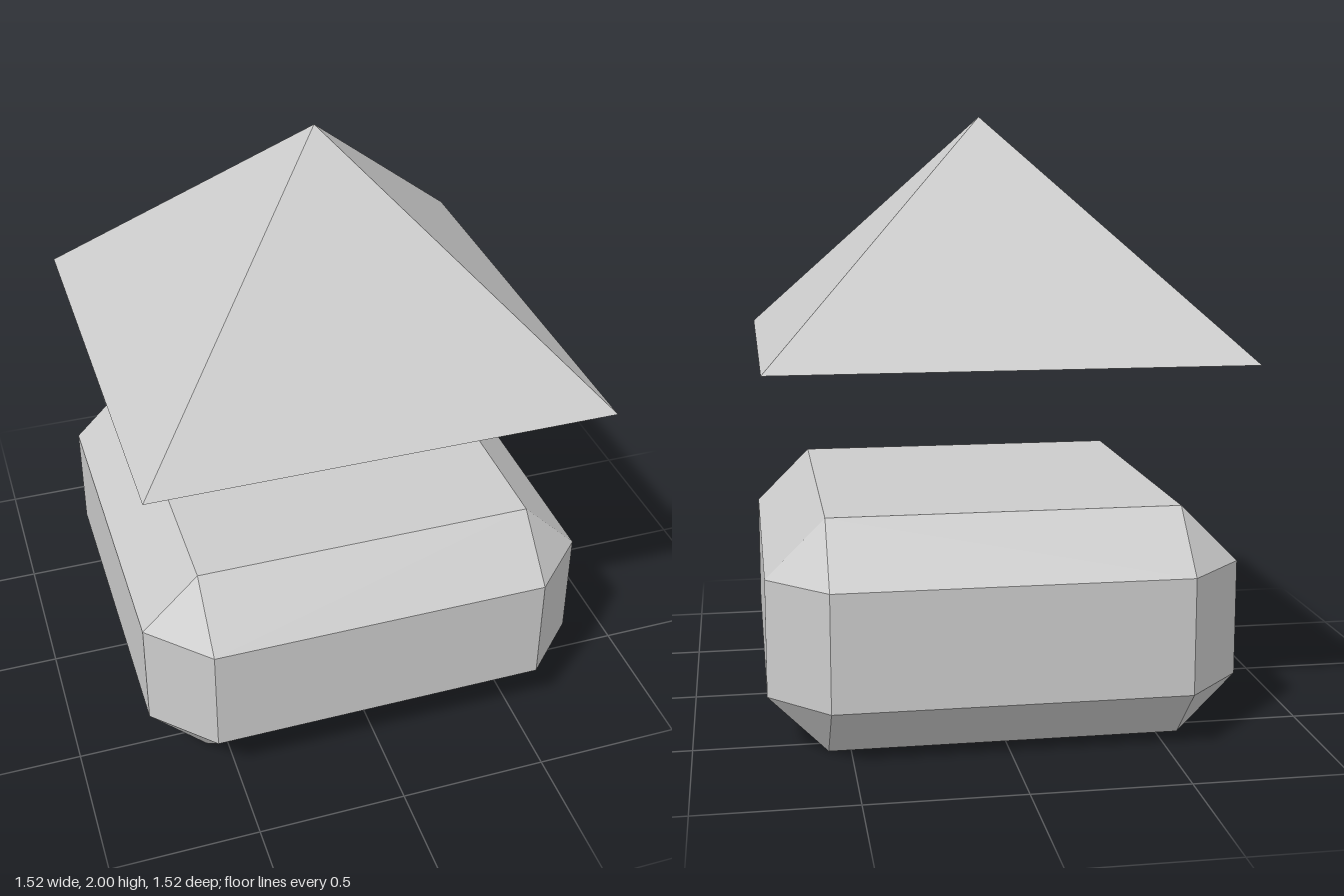
import * as THREE from 'three';
import { ConvexGeometry } from 'three/addons/geometries/ConvexGeometry.js';

const U = 2 / 10.5; // base unit: one chamfer width
const HALF = 4 * U; // half the footprint

// Box with every edge and corner cut flat, centred on the origin
function chamferedBox(hx, hy, hz, c) {
  const points = [];
  for (const sx of [-1, 1]) for (const sy of [-1, 1]) for (const sz of [-1, 1]) {
    points.push(
      new THREE.Vector3(sx * hx, sy * (hy - c), sz * (hz - c)),
      new THREE.Vector3(sx * (hx - c), sy * hy, sz * (hz - c)),
      new THREE.Vector3(sx * (hx - c), sy * (hy - c), sz * hz)
    );
  }
  return new ConvexGeometry(points);
}

export function createModel() {
  const model = new THREE.Group();
  const material = new THREE.MeshStandardMaterial({ color: 0xcccccc, flatShading: true });

  // Chamfered block standing on the ground
  const block = new THREE.Mesh(chamferedBox(HALF, 2 * U, HALF, U), material);
  block.name = 'chamferedBlock';
  block.position.y = 2 * U;
  model.add(block);

  // Square pyramid floating above, sides parallel to the block
  const pyramid = new THREE.Mesh(
    new THREE.ConeGeometry(HALF * Math.SQRT2, 4 * U, 4, 1, false, Math.PI / 4),
    material
  );
  pyramid.name = 'pyramid';
  pyramid.position.y = 8.5 * U;
  model.add(pyramid);

  return model;
}
